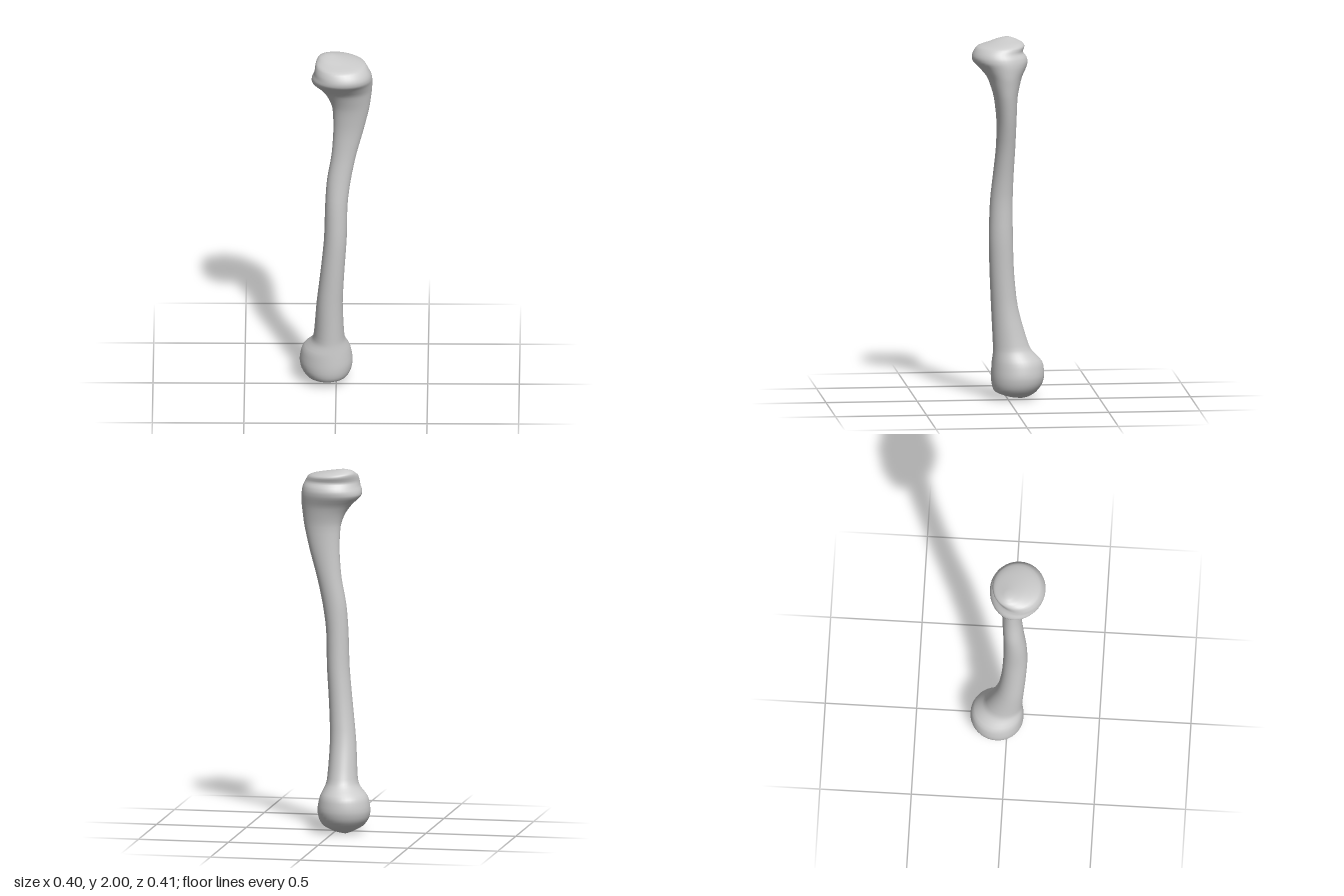
import * as THREE from 'three';

// Cross-sections from foot to top: height, x min, x max, z min, z max
const SECTIONS = [
  [0.0, -0.075, -0.055, -0.085, -0.065],
  [0.012, -0.11, 0.0, -0.12, 0.0],
  [0.04, -0.16, 0.06, -0.16, 0.068],
  [0.08, -0.19, 0.083, -0.19, 0.085],
  [0.13, -0.2, 0.09, -0.203, 0.088],
  [0.2, -0.185, 0.077, -0.193, 0.085],
  [0.25, -0.14, 0.055, -0.148, 0.08],
  [0.3, -0.122, 0.044, -0.116, 0.08],
  [0.5, -0.107, 0.036, -0.058, 0.09],
  [0.7, -0.085, 0.045, -0.034, 0.1],
  [0.9, -0.066, 0.058, -0.026, 0.106],
  [1.1, -0.06, 0.062, -0.024, 0.1],
  [1.25, -0.05, 0.08, -0.028, 0.085],
  [1.4, -0.025, 0.11, -0.034, 0.072],
  [1.55, -0.015, 0.15, -0.038, 0.071],
  [1.68, -0.02, 0.18, -0.042, 0.086],
  [1.75, -0.045, 0.19, -0.055, 0.105],
  [1.8, -0.08, 0.196, -0.07, 0.125],
  [1.85, -0.13, 0.198, -0.096, 0.168],
  [1.88, -0.132, 0.197, -0.102, 0.197],
  [1.905, -0.122, 0.192, -0.094, 0.203],
  [1.93, -0.117, 0.18, -0.076, 0.195],
  [1.96, -0.112, 0.158, -0.086, 0.172],
  [1.977, -0.103, 0.105, -0.075, 0.11],
  [1.99, -0.09, 0.035, -0.045, 0.065],
  [2.0, -0.06, -0.02, -0.015, 0.02],
];

// Smooth skin over elliptical rings, closed with a point at each end
function loft(sections, sides, steps) {
  const centres = new THREE.CatmullRomCurve3(
    sections.map(([y, a, b, c, d]) => new THREE.Vector3((a + b) / 2, y, (c + d) / 2)), false, 'catmullrom', 0.4);
  const radii = new THREE.CatmullRomCurve3(
    sections.map(([, a, b, c, d]) => new THREE.Vector3((b - a) / 2, 0, (d - c) / 2)), false, 'catmullrom', 0.4);
  const rings = (sections.length - 1) * steps;
  const pos = [], index = [];
  for (let i = 0; i <= rings; i++) {
    const c = centres.getPoint(i / rings), r = radii.getPoint(i / rings);
    for (let j = 0; j < sides; j++) {
      const t = (j / sides) * Math.PI * 2;
      pos.push(c.x + r.x * Math.sin(t), c.y, c.z + r.z * Math.cos(t));
    }
  }
  for (let i = 0; i < rings; i++) {
    for (let j = 0; j < sides; j++) {
      const k = (j + 1) % sides;
      const a = i * sides + j, b = i * sides + k;
      index.push(a, b, b + sides, a, b + sides, a + sides);
    }
  }
  const first = centres.getPoint(0), last = centres.getPoint(1);
  const bottom = pos.length / 3, top = bottom + 1;
  pos.push(first.x, first.y, first.z, last.x, last.y, last.z);
  for (let j = 0; j < sides; j++) {
    const k = (j + 1) % sides;
    index.push(bottom, k, j, top, rings * sides + j, rings * sides + k);
  }
  const geometry = new THREE.BufferGeometry();
  geometry.setAttribute('position', new THREE.Float32BufferAttribute(pos, 3));
  geometry.setIndex(index);
  geometry.computeVertexNormals();
  return geometry;
}

export function createModel() {
  const group = new THREE.Group();
  group.name = 'bone';
  // Ball end, shaft and flared end in one continuous skin
  const bone = new THREE.Mesh(loft(SECTIONS, 40, 3), new THREE.MeshStandardMaterial({ color: 0xcccccc }));
  bone.name = 'longBone';
  group.add(bone);
  return group;
}
